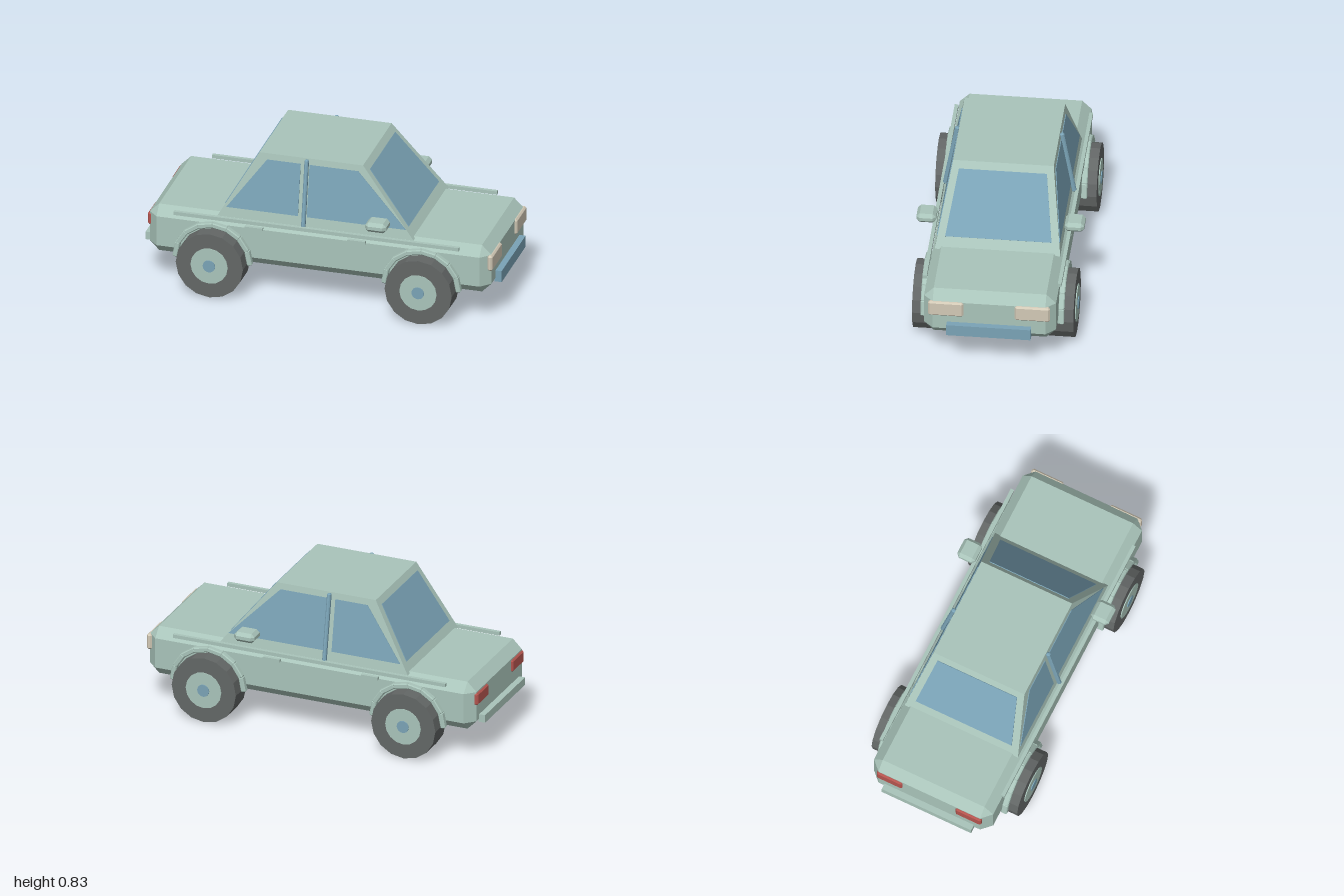
import * as THREE from 'three';
import { ConvexGeometry } from 'three/addons/geometries/ConvexGeometry.js';

const mat = (name, color) => {
  const m = new THREE.MeshStandardMaterial({ color });
  m.name = name;
  return m;
};

export function createModel() {
  const car = new THREE.Group();
  car.name = 'car';
  const paint = mat('sage paint', 0xa9c4ba);
  const glass = mat('blue glass', 0x7aa3b6);
  const rubber = mat('tyre rubber', 0x636766);
  const cream = mat('headlight cream', 0xd2c9b6);
  const red = mat('tail light red', 0xb4544e);

  const add = (name, geometry, material, x = 0, y = 0, z = 0) => {
    const mesh = new THREE.Mesh(geometry, material);
    mesh.name = name;
    mesh.position.set(x, y, z);
    car.add(mesh);
    return mesh;
  };
  const box = (w, h, d) => new THREE.BoxGeometry(w, h, d);

  // Box with every edge chamfered by b
  const chamferBox = (w, h, d, b) => {
    const half = [w / 2, h / 2, d / 2];
    const pts = [];
    for (const sx of [-1, 1]) for (const sy of [-1, 1]) for (const sz of [-1, 1])
      for (let axis = 0; axis < 3; axis++) {
        const c = half.map((v, i) => (i === axis ? v : v - b));
        pts.push(new THREE.Vector3(sx * c[0], sy * c[1], sz * c[2]));
      }
    return new ConvexGeometry(pts);
  };

  // Thin plate through four corners
  const plate = (corners) => {
    const p = corners.map((c) => new THREE.Vector3(...c));
    const n = p[1].clone().sub(p[0]).cross(p[2].clone().sub(p[0])).setLength(0.004);
    return new ConvexGeometry(p.flatMap((v) => [v.clone().add(n), v.clone().sub(n)]));
  };

  // Lower body
  add('body', chamferBox(1.93, 0.28, 0.72, 0.053), paint, 0, 0.32, 0);

  // Cabin, tapered towards the roof
  const y0 = 0.45, y1 = 0.83;
  const lerp = (a, b, y) => a + ((b - a) * (y - y0)) / (y1 - y0);
  const sideZ = (y) => lerp(0.342, 0.274, y);
  const frontX = (y) => lerp(0.535, 0.23, y);
  const rearX = (y) => lerp(-0.573, -0.355, y);
  const cabin = [];
  for (const y of [y0, y1]) for (const s of [-1, 1])
    for (const x of [rearX(y), frontX(y)]) cabin.push(new THREE.Vector3(x, y, s * sideZ(y)));
  add('cabin', new ConvexGeometry(cabin), paint);

  // Windscreen and rear window
  const lo = 0.505, hi = 0.795;
  for (const [name, edge] of [['windscreen', frontX], ['rearWindow', rearX]])
    add(name, plate([[edge(lo), lo, -0.29], [edge(lo), lo, 0.29],
      [edge(hi), hi, 0.24], [edge(hi), hi, -0.24]]), glass);

  for (const s of [-1, 1]) {
    // Side windows: bottom rear, bottom front, top front, top rear
    const sideWindow = (name, a, b, c, d) => add(name, plate([
      [a, lo, s * sideZ(lo)], [b, lo, s * sideZ(lo)],
      [c, hi, s * sideZ(hi)], [d, hi, s * sideZ(hi)]]), glass);
    sideWindow('rearSideWindow', -0.525, -0.12, -0.12, -0.31);
    sideWindow('frontSideWindow', -0.07, 0.49, 0.205, -0.07);

    // Door pillar leaning with the cabin side
    const pillar = add('doorPillar', chamferBox(0.022, 0.385, 0.026, 0.006), glass, -0.085, 0.637, s * 0.318);
    pillar.rotation.x = -s * Math.atan2(0.068, 0.38);

    add('mirror', chamferBox(0.12, 0.055, 0.107, 0.018), paint, 0.35, 0.548, s * 0.404);
    add('trimStrip', box(1.61, 0.02, 0.02), paint, -0.005, 0.447, s * 0.367);
    for (const x of [-0.36, 0.22]) add('doorHandle', box(0.1, 0.016, 0.02), paint, x, 0.412, s * 0.364);

    // Lamps
    add('headlight', chamferBox(0.03, 0.09, 0.192, 0.009), cream, 0.962, 0.364, s * 0.236);
    add('tailLight', chamferBox(0.03, 0.07, 0.155, 0.008), red, -0.961, 0.365, s * 0.238);

    for (const x of [-0.59, 0.59]) {
      // Wheel
      const disc = (name, r, depth, material, z) => {
        const g = new THREE.CylinderGeometry(r, r, depth, 16).toNonIndexed();
        g.rotateX(Math.PI / 2);
        g.computeVertexNormals();
        add(name, g, material, x, 0.19, s * z);
      };
      disc('tyre', 0.19, 0.14, rubber, 0.37);
      disc('wheelHub', 0.105, 0.15, paint, 0.37);
      disc('hubCap', 0.035, 0.03, glass, 0.435);

      // Segmented wheel arch
      for (let i = 0; i < 8; i++) {
        const a = ((i + 0.5) * Math.PI) / 8;
        const arch = add('wheelArch', chamferBox(0.088, 0.028, 0.034, 0.005), paint,
          x + Math.cos(a) * 0.207, 0.197 + Math.sin(a) * 0.207, s * 0.374);
        arch.rotation.z = a - Math.PI / 2;
      }
    }
  }

  // Bumpers
  add('frontBumper', box(0.04, 0.066, 0.46), glass, 0.98, 0.245, 0);
  add('rearBumper', box(0.04, 0.045, 0.54), paint, -0.98, 0.238, 0);

  return car;
}
